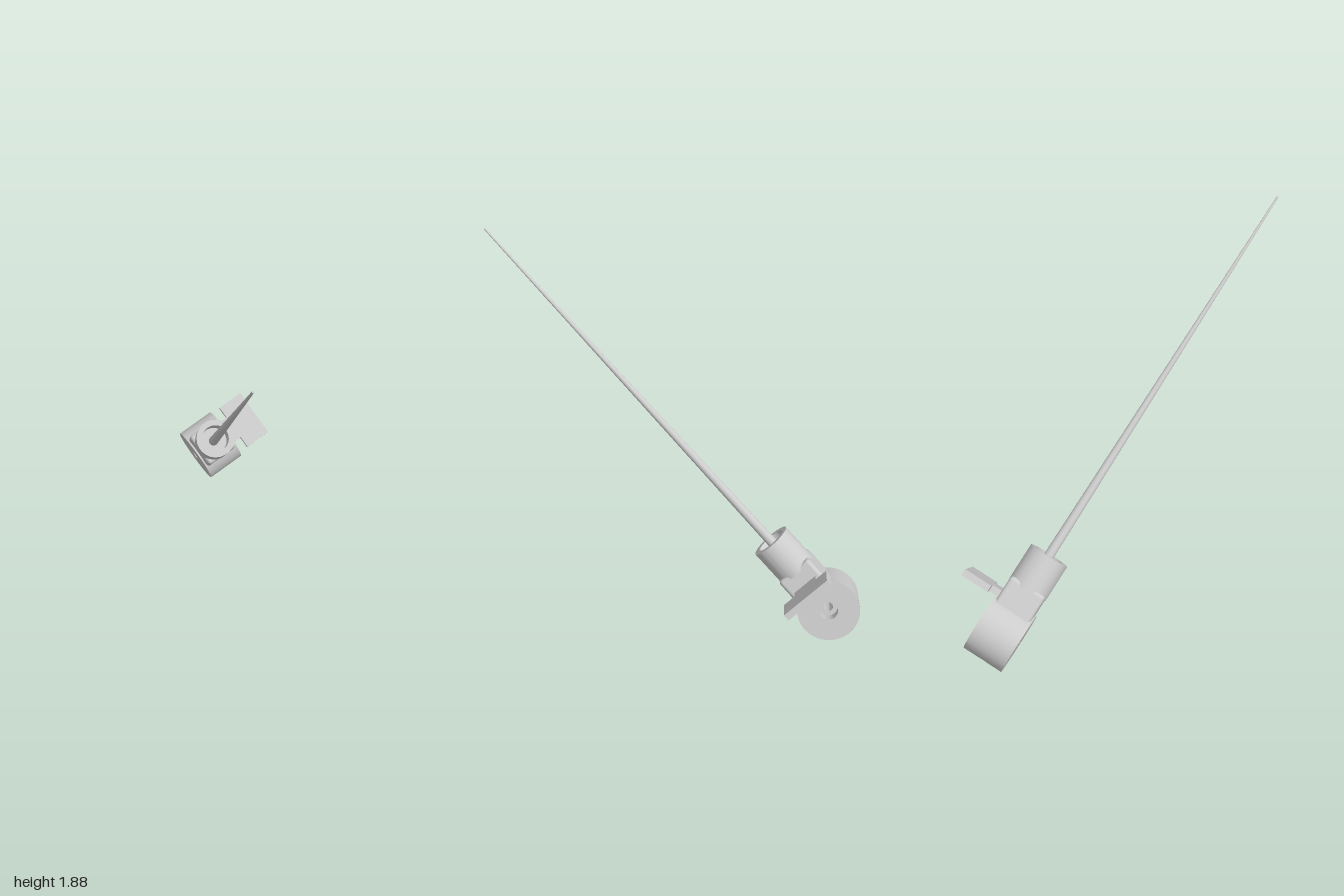
import * as THREE from 'three';
import { toCreasedNormals } from 'three/addons/utils/BufferGeometryUtils.js';
import { RoundedBoxGeometry } from 'three/addons/geometries/RoundedBoxGeometry.js';

const material = new THREE.MeshStandardMaterial({ color: 0xcccccc, side: THREE.DoubleSide });

function part(name, geometry, x = 0, y = 0, z = 0) {
  const mesh = new THREE.Mesh(geometry, material);
  mesh.name = name;
  mesh.position.set(x, y, z);
  return mesh;
}

// Turned part with sharp profile corners
function turned(profile, segments = 64) {
  const points = profile.map(([r, y]) => new THREE.Vector2(r, y));
  return toCreasedNormals(new THREE.LatheGeometry(points, segments), 0.5);
}

const R = 0.16;      // drum radius
const HALF = 0.11;   // half of the drum's length

// Patch of drum wall around the blind radial hole, with the hole's wall and floor
function holePatch(radius, floor) {
  const rows = 8;
  const geometry = new THREE.PlaneGeometry(1, 1, 48, rows);
  const pos = geometry.attributes.position;
  for (let i = 0; i < pos.count; i++) {
    const angle = (i % 49) / 48 * Math.PI * 2;
    const row = Math.floor(i / 49);
    const cos = Math.cos(angle), sin = Math.sin(angle);
    const edge = HALF / Math.max(Math.abs(cos), Math.abs(sin));
    const r = row === 0 ? 0 : row <= 2 ? radius : THREE.MathUtils.lerp(radius, edge, (row - 2) / (rows - 2));
    const z = r * sin;
    pos.setXYZ(i, r * cos, row < 2 ? -floor : -Math.sqrt(R * R - z * z), z);
  }
  return toCreasedNormals(geometry, 0.6);
}

export function createModel() {
  const model = new THREE.Group();
  model.name = 'needleHolder';

  // Local frame: x along the drum axis, y along the needle
  const center = new THREE.Vector3(0.23, 0.197, -0.838);
  const along = new THREE.Vector3(-0.5, 1.88, 1).sub(center);
  const length = along.length();
  along.normalize();
  const across = new THREE.Vector3(along.y, -along.x, 0).normalize();
  const depth = new THREE.Vector3().crossVectors(across, along);
  const body = new THREE.Group();
  body.name = 'body';
  body.quaternion.setFromRotationMatrix(new THREE.Matrix4().makeBasis(across, along, depth));
  body.position.copy(center);
  model.add(body);

  // Drum: end faces with a counterbored through hole, then the curved wall
  const ends = turned([[R, HALF], [0.048, HALF], [0.048, 0.05], [0.024, 0.05], [0.024, -HALF], [R, -HALF]]);
  body.add(part('drumEndsAndBore', ends.rotateZ(-Math.PI / 2)));
  const gap = Math.asin(HALF / R);
  const wall = new THREE.CylinderGeometry(R, R, HALF * 2, 64, 1, true, Math.PI / 2 + gap, Math.PI * 2 - gap * 2);
  body.add(part('drumWall', wall.rotateZ(-Math.PI / 2)));
  body.add(part('drumRadialHole', holePatch(0.042, 0.07)));

  // Neck block joining the drum and the socket
  body.add(part('neckBlock', new RoundedBoxGeometry(0.2, 0.195, 0.2, 4, 0.02), 0, 0.1775, 0));

  // Open socket and tapered needle
  body.add(part('socket', turned([[0.106, 0.25], [0.106, 0.45], [0.075, 0.45], [0.075, 0.29], [0, 0.29]])));
  body.add(part('needle', new THREE.CylinderGeometry(0.005, 0.027, length - 0.28, 32), 0, (length + 0.28) / 2, 0));

  // Side paddle on a narrower stem
  body.add(part('paddleStem', new THREE.BoxGeometry(0.08, 0.035, 0.14), 0.125, 0.165, 0));
  body.add(part('paddle', new THREE.BoxGeometry(0.15, 0.035, 0.28), 0.228, 0.165, 0));
  return model;
}
